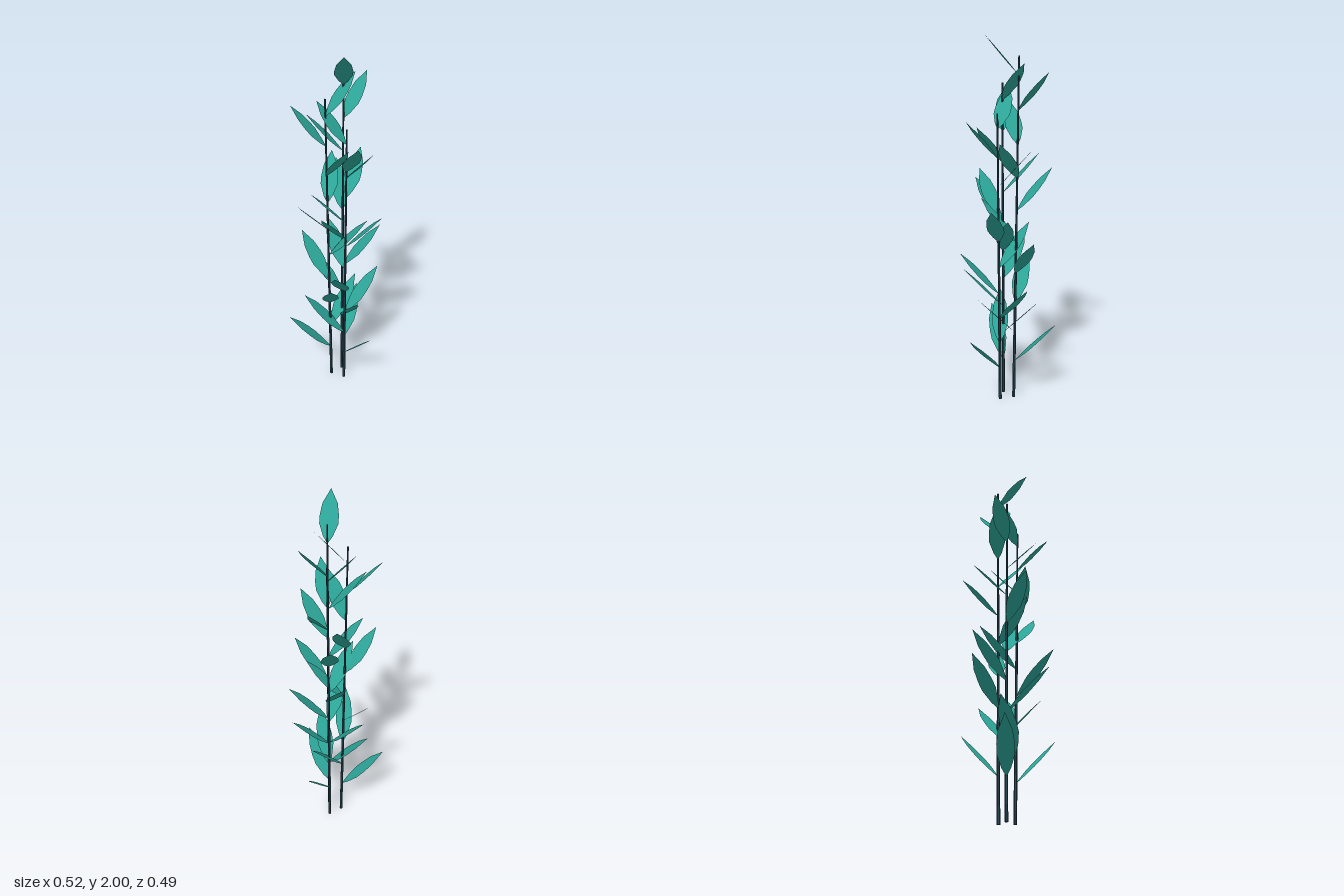
import * as THREE from 'three';

const LEAVES_PER_STEM = 10;
const GOLDEN_ANGLE = THREE.MathUtils.degToRad(137.5);

// Flat pointed leaf, one unit long along +x, lying in the xz plane
function leafGeometry() {
  const half = [[0.14, 0.023], [0.36, 0.044], [0.52, 0.044], [0.73, 0.035]];
  const outline = [
    [0, 0], ...half.map(([x, w]) => [x, -w]),
    [1, 0], ...half.map(([x, w]) => [x, w]).reverse(),
  ];
  const shape = new THREE.Shape(outline.map(([x, y]) => new THREE.Vector2(x, y)));
  return new THREE.ShapeGeometry(shape).rotateX(-Math.PI / 2);
}

export function createModel() {
  const stemMaterial = new THREE.MeshStandardMaterial({ color: 0x264653 });
  stemMaterial.name = 'dark stem';
  stemMaterial.flatShading = true;
  const leafMaterial = new THREE.MeshStandardMaterial({ color: 0x2ca497, side: THREE.DoubleSide });
  leafMaterial.name = 'teal leaf';

  const model = new THREE.Group();
  model.name = 'plant';
  const leafShape = leafGeometry();
  const up = new THREE.Vector3(0, 1, 0);

  // Three stems in a triangle, each leaning slightly outward
  [1.62, 1.76, 1.9].forEach((height, i) => {
    const angle = (i * Math.PI * 2) / 3;
    const ringPoint = (r, y) =>
      new THREE.Vector3(-0.025 + r * Math.cos(angle), y, r * Math.sin(angle));
    const base = ringPoint(0.046, 0);
    const top = ringPoint(0.065, height);

    const plant = new THREE.Group();
    plant.name = 'stalk' + (i + 1);
    model.add(plant);

    const axis = top.clone().sub(base);
    const stem = new THREE.Mesh(
      new THREE.CylinderGeometry(0.0045, 0.009, axis.length(), 6), stemMaterial);
    stem.name = 'stem';
    stem.position.copy(base).lerp(top, 0.5);
    stem.quaternion.setFromUnitVectors(up, axis.normalize());
    plant.add(stem);

    // Leaves spiral up the stem, getting shorter and steeper
    for (let k = 0; k < LEAVES_PER_STEM; k++) {
      const t = k / (LEAVES_PER_STEM - 1);
      const reach = 0.233 - 0.065 * t;
      const rise = 0.246 - 0.05 * t;
      const leaf = new THREE.Mesh(leafShape, leafMaterial);
      leaf.name = 'leaf';
      leaf.position.copy(base).lerp(top, 0.12 + 0.83 * t);
      leaf.rotation.order = 'YZX';
      leaf.rotation.y = -(angle + k * GOLDEN_ANGLE);
      leaf.rotation.z = Math.atan2(rise, reach);
      leaf.scale.x = Math.hypot(reach, rise);
      plant.add(leaf);
    }
  });

  return model;
}
